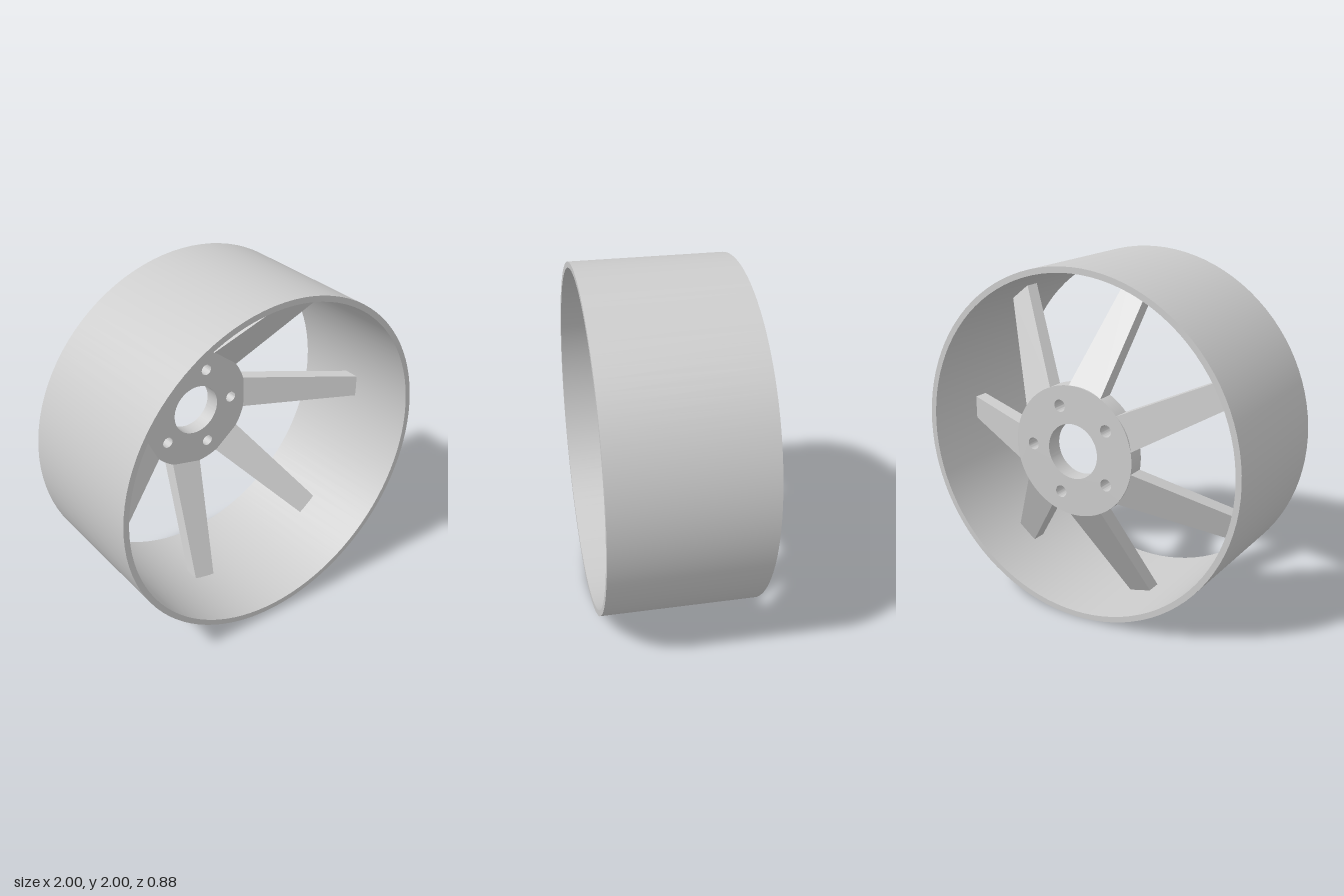
import * as THREE from 'three';
import { toCreasedNormals } from 'three/addons/utils/BufferGeometryUtils.js';

const HALF_DEPTH = 0.4425;

// Disc with round holes, extruded along z; holes are [x, y, radius]
function drilledDisc(radius, holes, z0, z1) {
  const shape = new THREE.Shape();
  shape.absarc(0, 0, radius, 0, Math.PI * 2, false);
  for (const [x, y, r] of holes) {
    const hole = new THREE.Path();
    hole.absarc(x, y, r, 0, Math.PI * 2, true);
    shape.holes.push(hole);
  }
  const geo = new THREE.ExtrudeGeometry(shape, { depth: z1 - z0, bevelEnabled: false, curveSegments: 48 });
  geo.translate(0, 0, z0);
  return toCreasedNormals(geo, 0.7);
}

// Tapered bar along +x that slopes forward from hub to rim
function spokeGeometry() {
  const geo = new THREE.BoxGeometry(1, 1, 1);
  const pos = geo.attributes.position;
  for (let i = 0; i < pos.count; i++) {
    const t = pos.getX(i) + 0.5;
    const back = THREE.MathUtils.lerp(-HALF_DEPTH, -0.07, t);
    const front = THREE.MathUtils.lerp(-0.347, 0.02, t);
    pos.setXYZ(
      i,
      THREE.MathUtils.lerp(0.355, 0.966, t),
      pos.getY(i) * THREE.MathUtils.lerp(0.204, 0.136, t),
      pos.getZ(i) > 0 ? front : back
    );
  }
  geo.computeVertexNormals();
  return geo;
}

export function createModel() {
  const metal = new THREE.MeshStandardMaterial({ color: 0xcccccc });
  metal.name = 'light grey metal';

  const wheel = new THREE.Group();
  wheel.name = 'wheel';
  wheel.position.y = 1;

  const add = (name, geo) => {
    const mesh = new THREE.Mesh(geo, metal);
    mesh.name = name;
    wheel.add(mesh);
    return mesh;
  };

  // Wide thin rim
  add('rim', drilledDisc(1, [[0, 0, 0.967]], -HALF_DEPTH, HALF_DEPTH));

  // Hub at the back with a centre bore and five bolt holes
  const holes = [[0, 0, 0.156]];
  for (let i = 0; i < 5; i++) {
    const a = (i * Math.PI * 2) / 5;
    holes.push([0.26 * Math.cos(a), 0.26 * Math.sin(a), 0.034]);
  }
  add('hub', drilledDisc(0.37, holes, -HALF_DEPTH, -0.345));

  // Seven spokes
  const spoke = spokeGeometry();
  for (let i = 0; i < 7; i++) {
    add('spoke' + (i + 1), spoke).rotation.z = (i * Math.PI * 2) / 7;
  }

  const model = new THREE.Group();
  model.name = 'wheelModel';
  model.add(wheel);
  return model;
}
